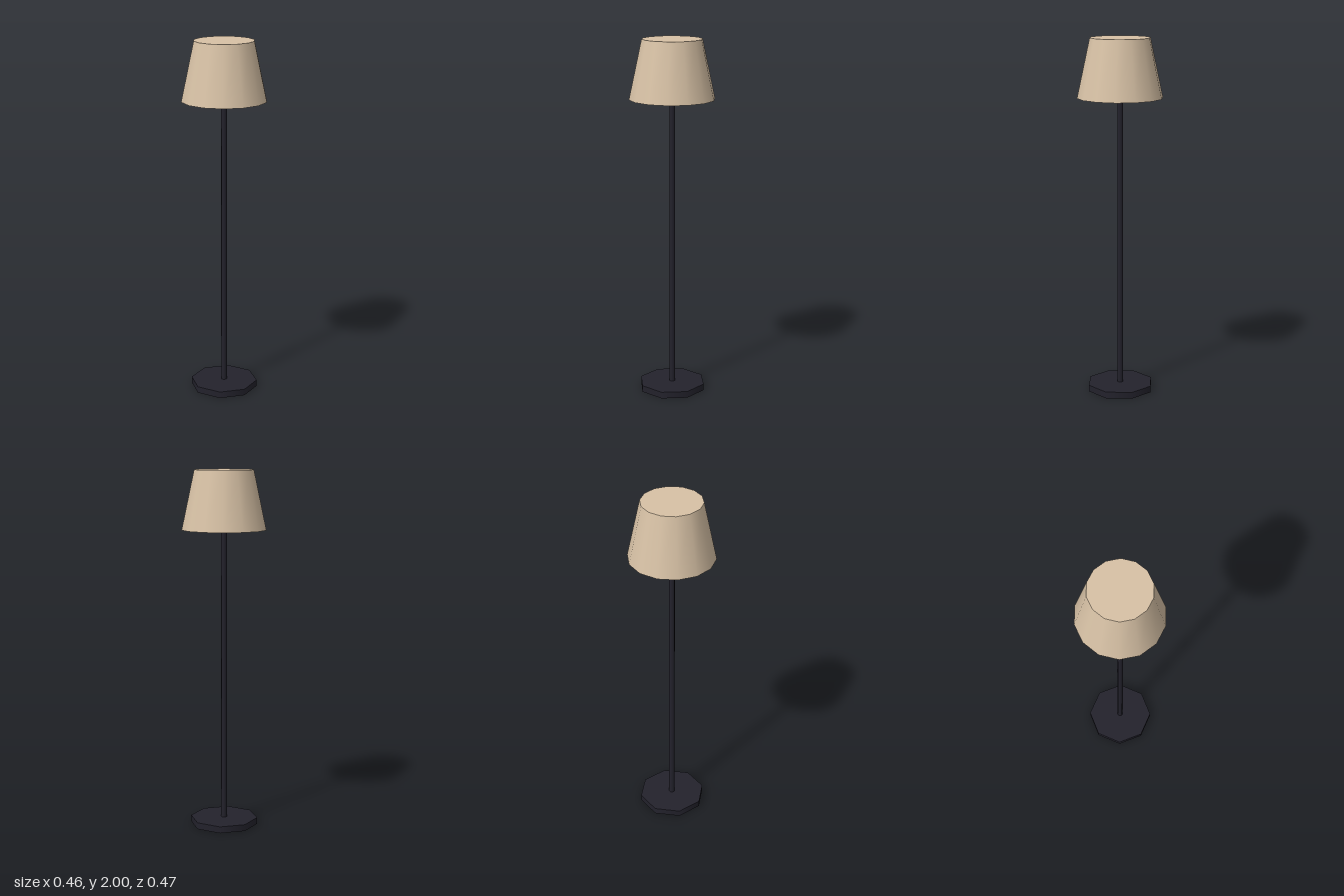
import * as THREE from 'three';

export function createModel() {
  const lamp = new THREE.Group();
  lamp.name = 'floorLamp';

  const metal = new THREE.MeshStandardMaterial({ name: 'dark metal', color: 0x23222c });
  const fabric = new THREE.MeshStandardMaterial({ name: 'beige fabric', color: 0xd8c2a6 });

  // Each part is a capped, smooth-sided cylinder standing between two heights
  function addPart(name, material, topRadius, bottomRadius, y0, y1, sides) {
    const geometry = new THREE.CylinderGeometry(topRadius, bottomRadius, y1 - y0, sides);
    const mesh = new THREE.Mesh(geometry, material);
    mesh.name = name;
    mesh.position.y = (y0 + y1) / 2;
    lamp.add(mesh);
  }

  // Octagonal foot, thin pole and closed tapered shade
  addPart('base', metal, 0.19, 0.19, 0, 0.037, 8);
  addPart('pole', metal, 0.0165, 0.0165, 0.03, 1.7, 8);
  addPart('shade', fabric, 0.166, 0.2365, 1.674, 2, 14);

  return lamp;
}
